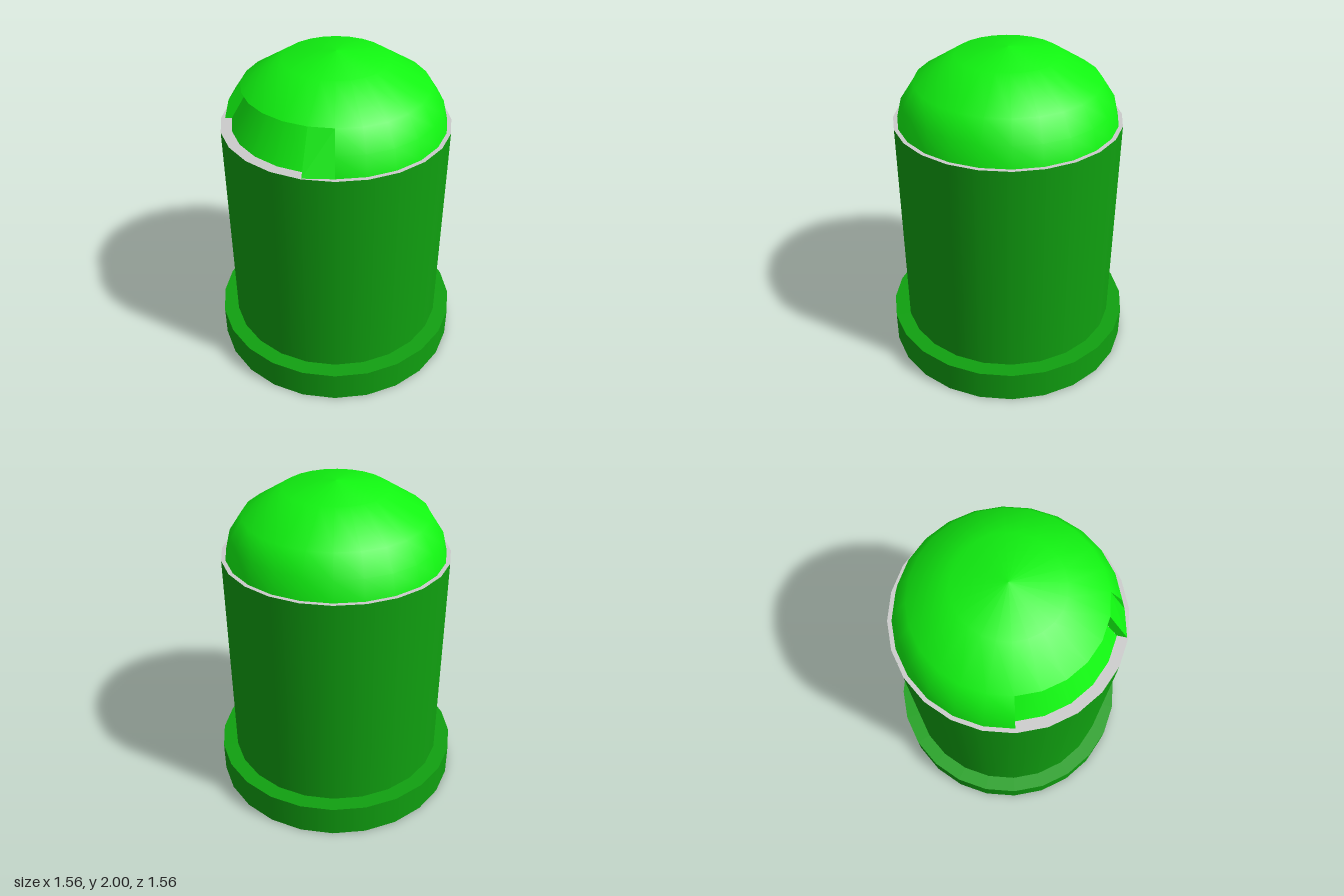
import * as THREE from 'three';

const SIDES = 24;
const STEP = (Math.PI * 2) / SIDES;

export function createModel() {
  const group = new THREE.Group();
  const bodyGreen = new THREE.MeshStandardMaterial({ color: 0x10a010 });
  const domeGreen = new THREE.MeshStandardMaterial({ color: 0x11f511 });
  const notchGreen = new THREE.MeshStandardMaterial({ color: 0x11f511, side: THREE.DoubleSide });
  const grey = new THREE.MeshStandardMaterial({ color: 0xcccccc });

  const add = (name, geometry, material, y = 0) => {
    const mesh = new THREE.Mesh(geometry, material);
    mesh.name = name;
    mesh.position.y = y;
    group.add(mesh);
    return mesh;
  };
  const profile = (pts) => pts.map(([r, y]) => new THREE.Vector2(r, y));
  // flat polygon fanned from its first corner
  const panel = (...corners) => {
    const tris = [];
    for (let i = 1; i < corners.length - 1; i++) tris.push(...corners[0], ...corners[i], ...corners[i + 1]);
    const g = new THREE.BufferGeometry();
    g.setAttribute('position', new THREE.Float32BufferAttribute(tris, 3));
    g.computeVertexNormals();
    return g;
  };

  // flange and barrel
  add('baseFlange', new THREE.CylinderGeometry(0.78, 0.78, 0.2, SIDES), bodyGreen, 0.1);
  add('barrel', new THREE.CylinderGeometry(0.685, 0.685, 1.37, SIDES), [bodyGreen, grey, bodyGreen], 0.885);

  // dome, with the lower bands left out of the front right quarter
  const domePts = [[0.66, 1.57], [0.63, 1.69], [0.55, 1.81], [0.31, 1.96], [0, 2]];
  const dome = new THREE.LatheGeometry(profile(domePts), SIDES);
  const bands = domePts.length - 1;
  const kept = Array.from(dome.index.array).filter((_, k) => {
    const quad = Math.floor(k / 6);
    return Math.floor(quad / bands) < 18 || quad % bands >= 2;
  });
  dome.setIndex(kept);
  add('dome', dome, domeGreen);

  // recessed wall and overhanging lip inside the notch
  add('notchWall', new THREE.LatheGeometry(profile([[0.62, 1.57], [0.48, 1.81]]), 5, 18 * STEP, 5 * STEP), notchGreen);
  add('notchLip', new THREE.LatheGeometry(profile([[0.48, 1.81], [0.55, 1.81]]), 6, 18 * STEP, 6 * STEP), notchGreen);

  // end walls of the notch
  add('notchBackEnd', panel(
    [-0.62, 1.57, 0], [-0.48, 1.81, 0], [-0.55, 1.81, 0], [-0.63, 1.69, 0], [-0.66, 1.57, 0]), notchGreen);
  add('notchFrontEnd', panel(
    [-0.175, 1.57, 0.655], [-0.142, 1.81, 0.531], [-0.124, 1.81, 0.464], [-0.16, 1.57, 0.599]), notchGreen);

  // sloping tab beside the notch, and the sliver of dome edge next to it
  add('slopingTab', panel(
    [0, 1.81, 0.55], [-0.142, 1.81, 0.531], [-0.175, 1.57, 0.655], [0, 1.57, 0.66]), notchGreen);
  add('tabSide', panel([0, 1.57, 0.66], [0, 1.69, 0.63], [0, 1.81, 0.55]), notchGreen);

  return group;
}
